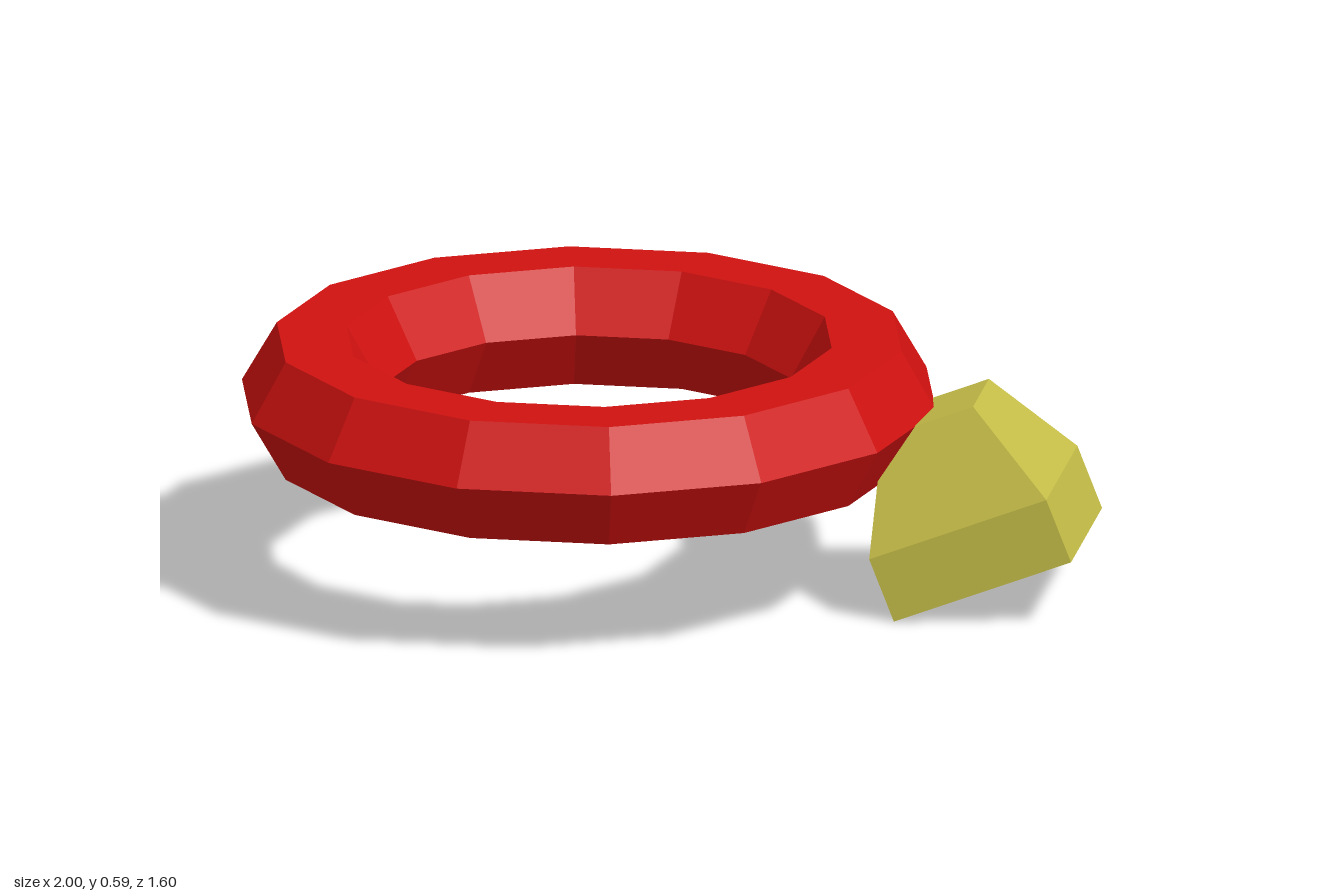
import * as THREE from 'three';

function addPart(group, name, geometry, color) {
  const flat = geometry.toNonIndexed();
  flat.computeVertexNormals();
  const mesh = new THREE.Mesh(flat, new THREE.MeshStandardMaterial({ color, flatShading: true }));
  mesh.name = name;
  group.add(mesh);
  return mesh;
}

export function createModel() {
  const group = new THREE.Group();
  group.name = 'ringWithStone';

  // Band: 14-sided ring with a hexagonal section, lying flat
  const band = addPart(group, 'band',
    new THREE.TorusGeometry(0.656, 0.165, 6, 14).rotateX(Math.PI / 2), 0xd01210);
  band.position.set(-0.179, 0.445, 0);

  // Stone: square block tapering to a small flat top, tilted against the band
  const profile = [[0, 0], [0.225, 0], [0.225, 0.16], [0.115, 0.403], [0, 0.403]]
    .map(([half, y]) => new THREE.Vector2(half * Math.SQRT2, y));
  const stone = addPart(group, 'stone',
    new THREE.LatheGeometry(profile, 4, Math.PI / 4), 0xc6be48);
  stone.position.set(0.79, 0.083, 0.014);
  stone.rotation.z = 0.374;

  return group;
}
